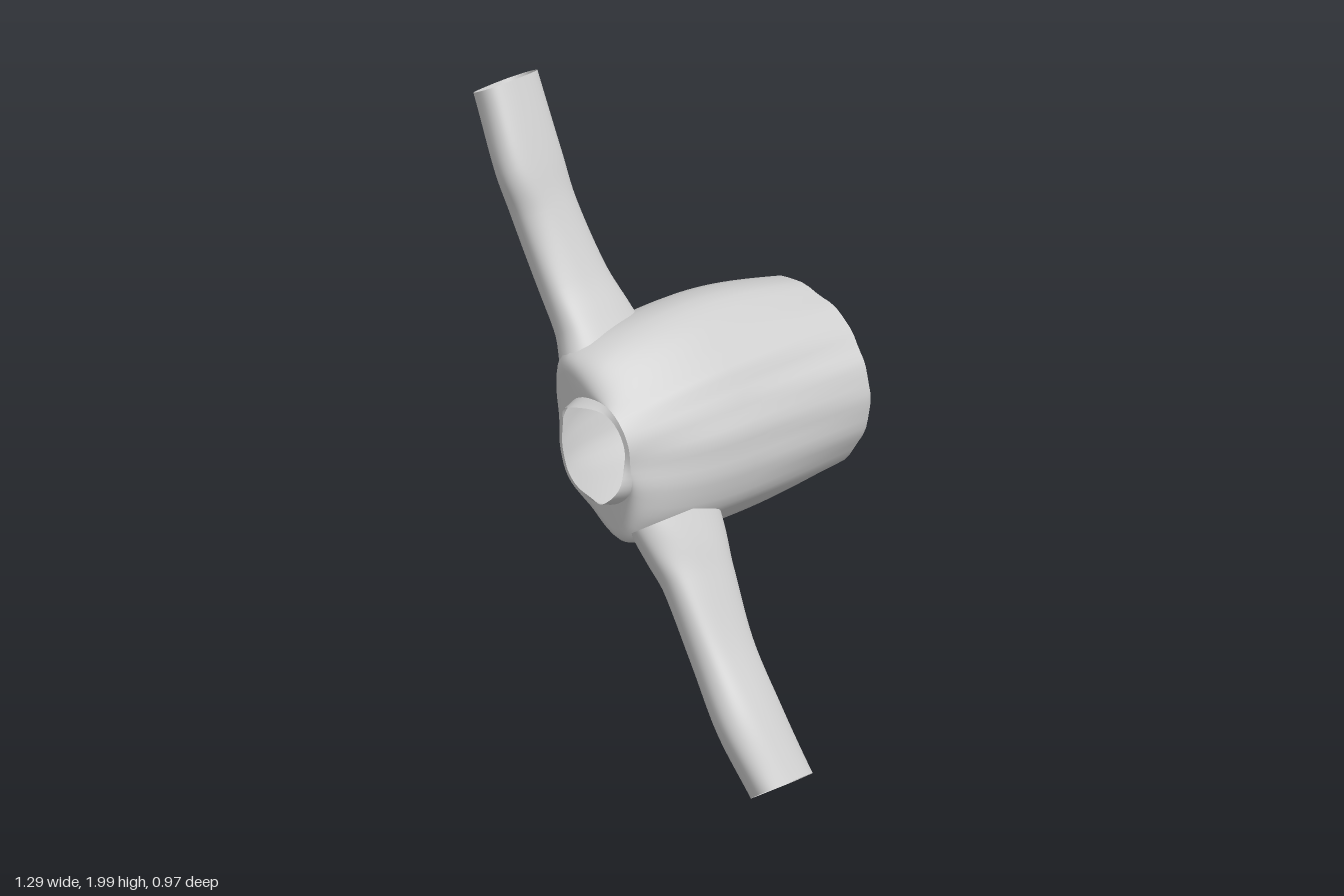
import * as THREE from 'three';

const SIDES = 64;
const CX = -0.06, CY = 0.97;
const SHOULDER = 2.06; // direction of the shoulder line, radians
const BEND_Z = 0.0, NECK_Z = 0.425; // where the shoulders start and end
const { lerp } = THREE.MathUtils;

// Outline radii about (CX, CY), one every 22.5 degrees
const chest = [.26, .245, .25, .272, .33, .355, .315, .30, .30, .295, .285, .31, .30, .325, .315, .285];
const hem = [.275, .255, .25, .26, .28, .29, .28, .25, .235, .225, .235, .26, .275, .30, .30, .285];
const neck = [.15, .155, .16, .165, .16, .155, .135, .125, .12, .12, .13, .138, .14, .147, .16, .168];

// Smooth periodic lookup of an outline radius
function radius(list, a) {
  const n = list.length, u = ((a / (2 * Math.PI)) * n + n) % n;
  const i = Math.floor(u), f = u - i;
  const p = k => list[(i + k + n) % n];
  return p(0) + 0.5 * f * (p(1) - p(-1) + f * (2 * p(-1) - 5 * p(0) + 4 * p(1) - p(2)
    + f * (3 * (p(0) - p(1)) + p(2) - p(-1))));
}

// Open tube through closed rings; at(v, a) gives a point for v in 0..1
function loft(name, rows, at) {
  const pos = [], index = [];
  for (let i = 0; i <= rows; i++) {
    for (let j = 0; j < SIDES; j++) {
      pos.push(...at(i / rows, (j / SIDES) * Math.PI * 2));
      if (i === rows) continue;
      const a = i * SIDES + j, b = i * SIDES + (j + 1) % SIDES;
      index.push(a, b, a + SIDES, b, b + SIDES, a + SIDES);
    }
  }
  const geo = new THREE.BufferGeometry();
  geo.setAttribute('position', new THREE.Float32BufferAttribute(pos, 3));
  geo.setIndex(index);
  geo.computeVertexNormals();
  const mesh = new THREE.Mesh(geo, new THREE.MeshStandardMaterial({ color: 0xcccccc, side: THREE.DoubleSide }));
  mesh.name = name;
  return mesh;
}

const polar = (r, a, z) => [CX + r * Math.cos(a), CY + r * Math.sin(a), z];
const folds = (a, z) => 0.002 * Math.sin(9 * a + 3 * z) + 0.002 * Math.sin(16 * a - 5 * z);

// Torso cloth from the open hem to the shoulder bend
function torsoPoint(v, a) {
  const hemZ = -0.468 - 0.018 * Math.cos(2 * a - 1.2) + 0.004 * Math.sin(5 * a);
  const z = lerp(hemZ, BEND_Z, v);
  const t = Math.sin(v * Math.PI / 2);
  return polar(lerp(radius(hem, a), radius(chest, a), t) + folds(a, z), a, z);
}

// Shoulders: full width along the shoulder line, tapering to a wedge across it
function shoulderPoint(v, a) {
  const u = v * Math.PI / 2;
  const power = lerp(2.2, 0.25, Math.abs(Math.cos(a - SHOULDER)) ** 3.5);
  const inner = radius(neck, a) + 0.015, outer = radius(chest, a) + folds(a, BEND_Z);
  const c = Math.max(0, Math.cos(u));
  return polar(inner + (outer - inner) * c ** power, a, lerp(BEND_Z, NECK_Z, Math.sin(u)));
}

// Body in one piece so that the bend shades smoothly
const bodyPoint = (v, a) => v < 0.5 ? torsoPoint(v * 2, a) : shoulderPoint(v * 2 - 1, a);

// Collar stands up into two points near the shoulder seams
function collarPoint(v, a) {
  const peak = centre => Math.max(0, Math.cos(a - centre)) ** 6;
  return polar(radius(neck, a) + 0.015 * (1 - v), a, NECK_Z + v * (0.004 + 0.052 * (peak(1.83) + peak(5.55))));
}

// Sleeve stations: x, y, z, half thickness, half depth
function sleeve(name, stations) {
  const path = new THREE.CatmullRomCurve3(stations.map(s => new THREE.Vector3(s[0], s[1], s[2])));
  const size = new THREE.SplineCurve(stations.map(s => new THREE.Vector2(s[3], s[4])));
  const round = (x, p) => Math.sign(x) * Math.abs(x) ** p;
  return loft(name, 30, (v, a) => {
    const c = path.getPoint(v), t = path.getTangent(v), h = size.getPoint(v);
    const flat = Math.hypot(t.x, t.y);
    const n = round(Math.cos(a), 0.8) * h.x * (1 + 0.04 * Math.sin(3 * a + 9 * v));
    const d = round(Math.sin(a), 0.8) * h.y;
    return [c.x - (t.y / flat) * n, c.y + (t.x / flat) * n, c.z + d];
  });
}

export function createModel() {
  const group = new THREE.Group();
  group.name = 'shirt';
  group.add(
    loft('body', 64, bodyPoint),
    loft('collar', 4, collarPoint),
    sleeve('rightSleeve', [
      [-.185, 1.215, .25, .075, .163], [-.235, 1.29, .245, .07, .14], [-.31, 1.40, .252, .066, .122],
      [-.423, 1.60, .262, .066, .112], [-.475, 1.74, .278, .062, .12], [-.588, 1.965, .263, .068, .112],
    ]),
    sleeve('leftSleeve', [
      [.112, .762, .25, .073, .163], [.165, .678, .248, .071, .148], [.215, .60, .252, .067, .128],
      [.335, .40, .27, .064, .112], [.465, .22, .282, .066, .118], [.585, .037, .265, .067, .11],
    ]),
  );
  return group;
}
